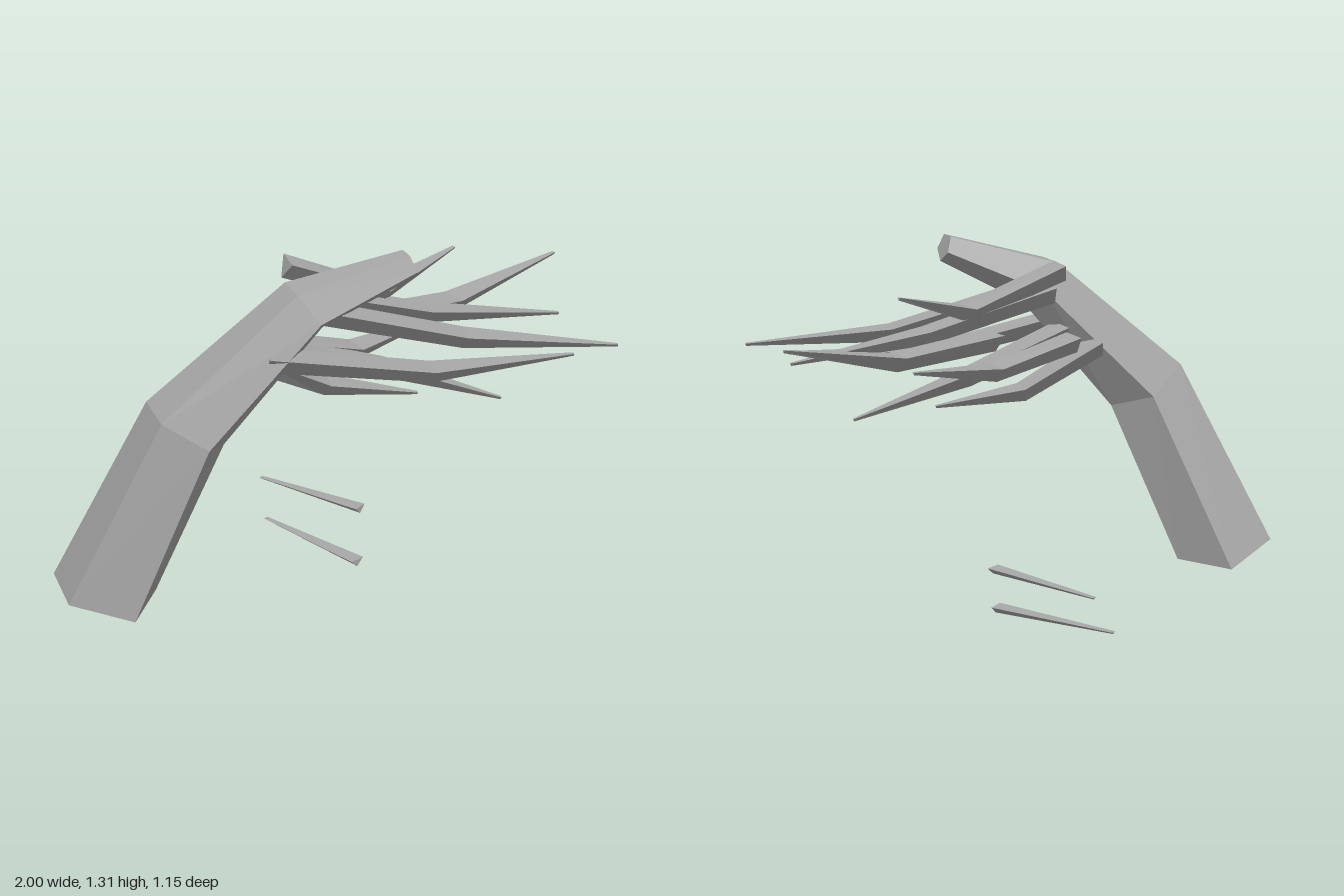
import * as THREE from 'three';

const stone = new THREE.MeshStandardMaterial({ color: 0xa9a9a9, flatShading: true });
stone.name = 'grey stone';

const V = (p) => new THREE.Vector3(...p);

// Faceted skin over matching rings of points, capped at both ends
function loft(name, rings) {
  const pos = [];
  const tri = (...pts) => pts.forEach((p) => pos.push(p.x, p.y, p.z));
  const n = rings[0].length;
  for (let r = 0; r < rings.length - 1; r++) {
    for (let i = 0; i < n; i++) {
      const j = (i + 1) % n, a = rings[r], b = rings[r + 1];
      tri(a[i], a[j], b[j]);
      tri(a[i], b[j], b[i]);
    }
  }
  const first = rings[0], last = rings[rings.length - 1];
  for (let i = 1; i < n - 1; i++) {
    tri(first[0], first[i + 1], first[i]);
    tri(last[0], last[i], last[i + 1]);
  }
  const geo = new THREE.BufferGeometry();
  geo.setAttribute('position', new THREE.Float32BufferAttribute(pos, 3));
  geo.computeVertexNormals();
  const mesh = new THREE.Mesh(geo, stone);
  mesh.name = name;
  return mesh;
}

// Three-sided splinter: path points with a half width and a depth at each
function splinter(name, path, widths, depths) {
  const pts = path.map(V);
  const rings = pts.map((p, i) => {
    const dir = pts[Math.min(i + 1, pts.length - 1)].clone()
      .sub(pts[Math.max(i - 1, 0)]).normalize();
    const side = new THREE.Vector3().crossVectors(dir, new THREE.Vector3(0, 1, 0)).normalize();
    const down = new THREE.Vector3().crossVectors(dir, side).normalize();
    const at = (s, d) => p.clone().addScaledVector(side, s).addScaledVector(down, d);
    const w = widths[i], d = depths[i];
    return [at(w, -0.4 * d), at(0, 0.6 * d), at(-w, -0.4 * d)];
  });
  return loft(name, rings);
}

export function createModel() {
  const group = new THREE.Group();
  group.name = 'broken arch';

  // Five-sided bent column: [outer x,y], [middle x,y], [inner x,y], centre z, outer and middle half widths
  const sections = [
    [[-1, 0.07], [-0.78, 0], [-0.65, 0], 0.12, 0.122, 0.2],
    [[-0.67, 0.78], [-0.52, 0.68], [-0.42, 0.62], 0.26, 0.1, 0.16],
    [[-0.19, 1.2], [-0.12, 1.1], [-0.075, 1.045], 0.325, 0.067, 0.112],
    [[0.2, 1.31], [0.22, 1.255], [0.23, 1.215], 0.402, 0.033, 0.053],
  ];
  group.add(loft('column', sections.map(([o, m, n, z, a, b]) => [
    V([...o, z - a]), V([...o, z + a]), V([...m, z + b]), V([...n, z]), V([...m, z - b]),
  ])));

  // Splinters growing from the column: base, bend, tip
  const spikes = [
    [[0.13, 0.96, 0.12], [0.55, 0.94, 0.02], [1.0, 1.045, -0.08]],
    [[-0.12, 1.1, 0.31], [0.43, 0.96, 0.4], [0.945, 0.93, 0.565]],
    [[-0.3, 0.965, 0.37], [0.3, 0.855, 0.42], [0.8, 0.895, 0.515]],
    [[-0.14, 1.2, 0.115], [0.22, 1.065, 0.14], [0.535, 1.165, 0.04]],
    [[-0.2, 0.94, 0.23], [0.2, 0.805, 0.215], [0.62, 0.665, 0.31]],
    [[-0.12, 1.11, 0.16], [0.37, 0.985, 0.19], [0.885, 0.925, 0.21]],
    [[-0.2, 0.92, 0.13], [0.13, 0.84, 0.11], [0.49, 0.893, 0.02]],
    [[-0.31, 0.89, 0.15], [0, 0.74, 0.16], [0.32, 0.7, 0.24]],
  ];
  spikes.forEach((path, i) => group.add(
    splinter('splinter ' + (i + 1), path, [0.062, 0.056, 0.008], [0.07, 0.06, 0.01])));

  // Loose shards lying on the ground
  group.add(splinter('fallen shard 1', [[0.26, 0.033, -0.17], [-0.02, 0.031, -0.567]],
    [0.03, 0.01], [0.028, 0.008]));
  group.add(splinter('fallen shard 2', [[0.1, 0.033, 0.225], [-0.113, 0.031, -0.224]],
    [0.03, 0.01], [0.028, 0.008]));

  return group;
}
